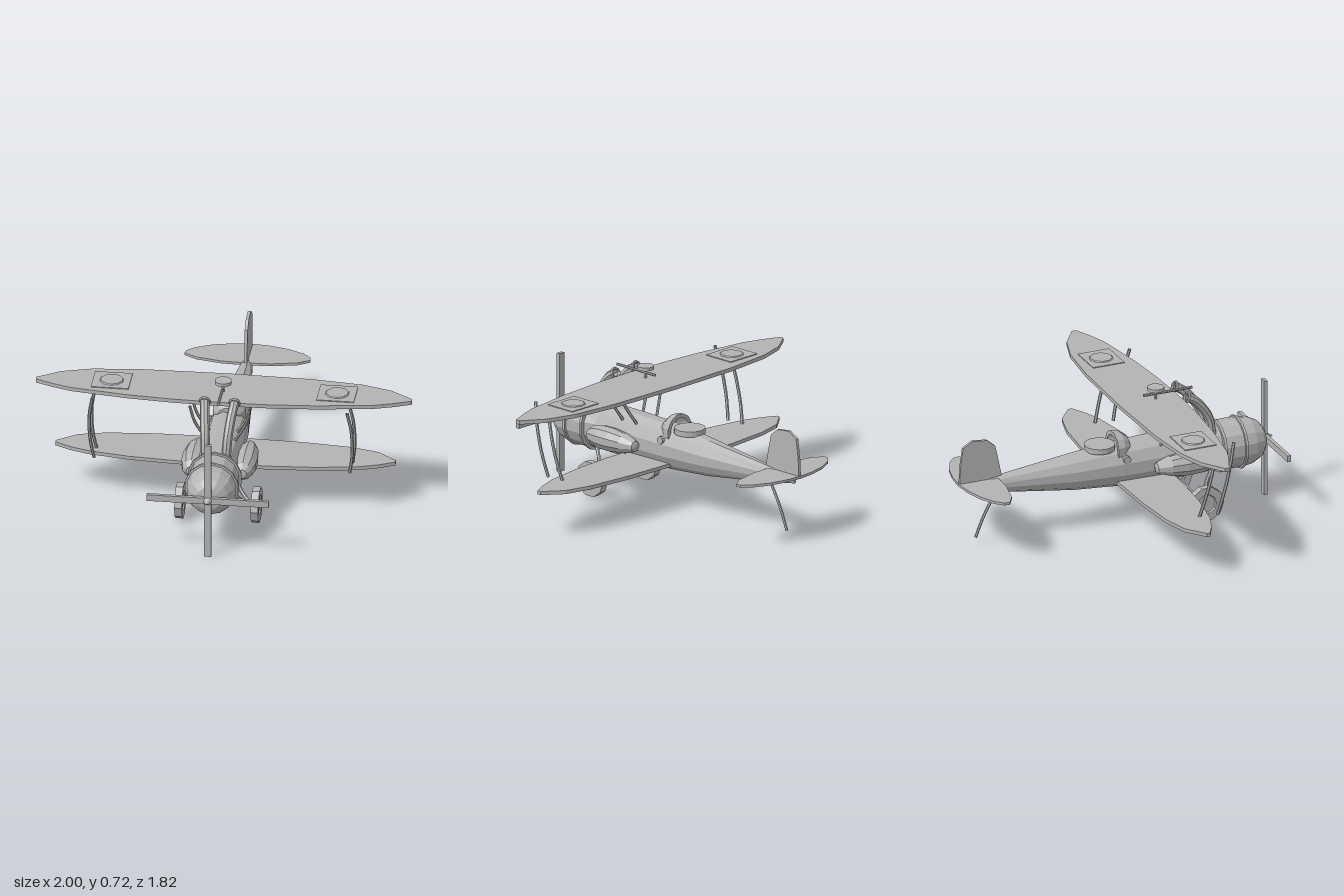
import * as THREE from 'three';

export function createModel() {
  const model = new THREE.Group();
  const grey = new THREE.MeshStandardMaterial({ color: 0xb3b3b3, flatShading: true, side: THREE.DoubleSide });
  grey.name = 'plainGrey';
  const V = (x, y, z) => new THREE.Vector3(x, y, z);
  const CY = 0.327; // height of the engine axis

  function add(name, geometry, x = 0, y = 0, z = 0) {
    const mesh = new THREE.Mesh(geometry, grey);
    mesh.name = name;
    mesh.position.set(x, y, z);
    model.add(mesh);
    return mesh;
  }

  // lathe about z from [radius, z] pairs
  function latheZ(pairs, sides) {
    const pts = pairs.map(([r, z]) => new THREE.Vector2(r, z));
    return new THREE.LatheGeometry(pts, sides).rotateX(Math.PI / 2);
  }

  // flat plate from the [x, z] outline of its left half, mirrored
  function plate(half, thickness) {
    const right = half.slice().reverse().map(([x, z]) => [-x, z]).filter(([x]) => x !== 0);
    const shape = new THREE.Shape([...half, ...right].map(([x, z]) => new THREE.Vector2(x, -z)));
    return new THREE.ExtrudeGeometry(shape, { depth: thickness, bevelEnabled: false }).rotateX(-Math.PI / 2);
  }

  function tube(points, radius, sides = 6, steps = 8) {
    return new THREE.TubeGeometry(new THREE.CatmullRomCurve3(points), steps, radius, sides);
  }

  // skin through elliptical sections [z, centre y, half width, half height]
  function loft(sections, sides) {
    const pos = [], idx = [];
    for (const [z, cy, rx, ry] of sections) {
      for (let i = 0; i < sides; i++) {
        const a = ((i + 0.5) / sides) * Math.PI * 2;
        pos.push(Math.cos(a) * rx, cy + Math.sin(a) * ry, z);
      }
    }
    for (let s = 0; s < sections.length - 1; s++) {
      for (let i = 0; i < sides; i++) {
        const a = s * sides + i, b = s * sides + (i + 1) % sides;
        idx.push(a, a + sides, b, b, a + sides, b + sides);
      }
    }
    const g = new THREE.BufferGeometry();
    g.setAttribute('position', new THREE.Float32BufferAttribute(pos, 3));
    g.setIndex(idx);
    g.computeVertexNormals();
    return g;
  }

  // fuselage and engine cowl
  add('fuselage', loft([
    [0.58, CY, 0.125, 0.13], [0.5, CY, 0.11, 0.132], [0.25, 0.326, 0.112, 0.132], [0, 0.325, 0.108, 0.124],
    [-0.25, 0.322, 0.088, 0.102], [-0.7, 0.327, 0.034, 0.045], [-0.87, 0.328, 0.008, 0.012], [-0.875, 0.328, 0, 0],
  ], 12));
  add('engineCowl', latheZ([
    [0, 0.57], [0.145, 0.57], [0.145, 0.585], [0.134, 0.585], [0.135, 0.69], [0.144, 0.692], [0.144, 0.706],
    [0.134, 0.708], [0.127, 0.765], [0.102, 0.815], [0.065, 0.842], [0, 0.855],
  ], 14), 0, CY, 0);

  // propeller and spinner
  add('propellerVertical', new THREE.BoxGeometry(0.038, 0.655, 0.02), 0, CY, 0.857);
  add('propellerHorizontal', new THREE.BoxGeometry(0.65, 0.036, 0.02), 0, CY, 0.857);
  add('spinner', latheZ([[0.022, 0.845], [0.022, 0.868], [0, 0.905]], 10), 0, CY, 0);

  // wings
  add('upperWing', plate([
    [0, 0.358], [0.25, 0.352], [0.5, 0.332], [0.8, 0.288], [0.9, 0.255], [1, 0.212],
    [1, 0.188], [0.88, 0.105], [0.72, 0.055], [0.45, 0.027], [0, 0.017],
  ], 0.021), 0, 0.635, 0);
  add('lowerWing', plate([
    [0, 0.285], [0.25, 0.28], [0.5, 0.262], [0.72, 0.225], [0.82, 0.19], [0.905, 0.145],
    [0.905, 0.125], [0.8, 0.042], [0.65, 0.003], [0.4, -0.02], [0, -0.03],
  ], 0.02), 0, 0.236, 0);

  // tail
  add('tailplane', plate([
    [0, -0.685], [0.13, -0.69], [0.27, -0.72], [0.335, -0.76], [0.33, -0.79],
    [0.29, -0.83], [0.2, -0.875], [0.1, -0.9], [0, -0.91],
  ], 0.014), 0, 0.35, 0);
  const finOutline = [[-0.66, 0.36], [-0.68, 0.46], [-0.7, 0.55], [-0.745, 0.588],
    [-0.83, 0.597], [-0.885, 0.565], [-0.9, 0.46], [-0.905, 0.36]];
  const finShape = new THREE.Shape(finOutline.map(([z, y]) => new THREE.Vector2(-z, y)));
  add('tailFin', new THREE.ExtrudeGeometry(finShape, { depth: 0.016, bevelEnabled: false })
    .rotateY(Math.PI / 2).translate(-0.008, 0, 0));
  add('tailSkid', tube([V(0, 0.3, -0.68), V(0, 0.25, -0.71), V(0, 0.15, -0.765), V(0, 0.04, -0.81)], 0.008));

  // cockpit: rounded windscreen hood and padded rim behind it
  add('windscreen', loft([
    [0.06, 0.42, 0, 0], [0.06, 0.42, 0.055, 0.052], [0.02, 0.42, 0.085, 0.085],
    [-0.022, 0.42, 0.092, 0.092], [-0.022, 0.42, 0.07, 0.07],
  ], 12));
  add('cockpitRim', new THREE.CylinderGeometry(0.083, 0.083, 0.03, 18), 0, 0.438, -0.095);

  // lookout rod and disc above the wing
  add('topRod', new THREE.CylinderGeometry(0.008, 0.008, 0.28, 8).rotateX(Math.PI / 2), 0, 0.685, 0.3);
  add('topDisc', new THREE.CylinderGeometry(0.045, 0.045, 0.018, 16), 0, 0.714, 0.23);
  add('topDiscStem', new THREE.CylinderGeometry(0.008, 0.008, 0.06, 6), 0, 0.68, 0.23);

  for (const s of [1, -1]) {
    // thin panels on the upper wing
    add('wingPanel', new THREE.BoxGeometry(0.2, 0.005, 0.18), s * 0.6, 0.658, 0.18);
    add('wingPanelDisc', new THREE.CylinderGeometry(0.06, 0.065, 0.006, 10), s * 0.6, 0.663, 0.18);

    // bowed outer struts and short inner struts
    for (const [zTop, zBottom] of [[0.38, 0.285], [0.285, 0.18]]) {
      const zAt = (t) => zBottom + (zTop - zBottom) * t;
      add('outerStrut', tube([V(s * 0.678, 0.645, zTop), V(s * 0.695, 0.55, zAt(0.76)),
        V(s * 0.7, 0.445, zAt(0.5)), V(s * 0.695, 0.345, zAt(0.24)), V(s * 0.68, 0.25, zBottom)], 0.009));
      add('innerStrut', tube([V(s * 0.16, 0.63, zTop - 0.01), V(s * 0.135, 0.53, zAt(0.72)),
        V(s * 0.075, 0.42, zAt(0.42))], 0.008));
    }

    // thick pipes rising from the cowl, with an open collar
    add('exhaustPipe', tube([V(s * 0.055, 0.42, 0.53), V(s * 0.06, 0.52, 0.51), V(s * 0.068, 0.6, 0.46),
      V(s * 0.076, 0.65, 0.41), V(s * 0.08, 0.672, 0.365)], 0.025, 8, 10));
    add('exhaustCollar', new THREE.TorusGeometry(0.026, 0.008, 6, 10), s * 0.079, 0.668, 0.375).rotation.x = 0.4;

    // side pods
    add('sidePod', latheZ([[0, 0.165], [0.03, 0.175], [0.055, 0.25], [0.066, 0.34],
      [0.064, 0.42], [0.05, 0.48], [0.025, 0.512], [0, 0.515]], 10), s * 0.137, 0.318, 0);
    add('sidePort', new THREE.CylinderGeometry(0.021, 0.021, 0.02, 10).rotateZ(Math.PI / 2), s * 0.1, 0.38, 0.02);

    // wheels with dished hubs on curved legs
    const wheel = [[0, -0.012], [0.05, -0.012], [0.055, -0.02], [0.097, -0.02], [0.097, 0.02],
      [0.055, 0.02], [0.05, 0.012], [0, 0.012]].map(([r, y]) => new THREE.Vector2(r, y));
    add('wheel', new THREE.LatheGeometry(wheel, 10).rotateZ(Math.PI / 2), s * 0.203, 0.1, 0.428);
    for (const zRoot of [0.525, 0.29]) {
      add('wheelLeg', tube([V(s * 0.07, 0.235, zRoot), V(s * 0.1, 0.17, 0.428 + (zRoot - 0.428) * 0.5),
        V(s * 0.145, 0.12, 0.428 + (zRoot - 0.428) * 0.2), V(s * 0.195, 0.1, 0.428)], 0.01));
    }
  }
  return model;
}
